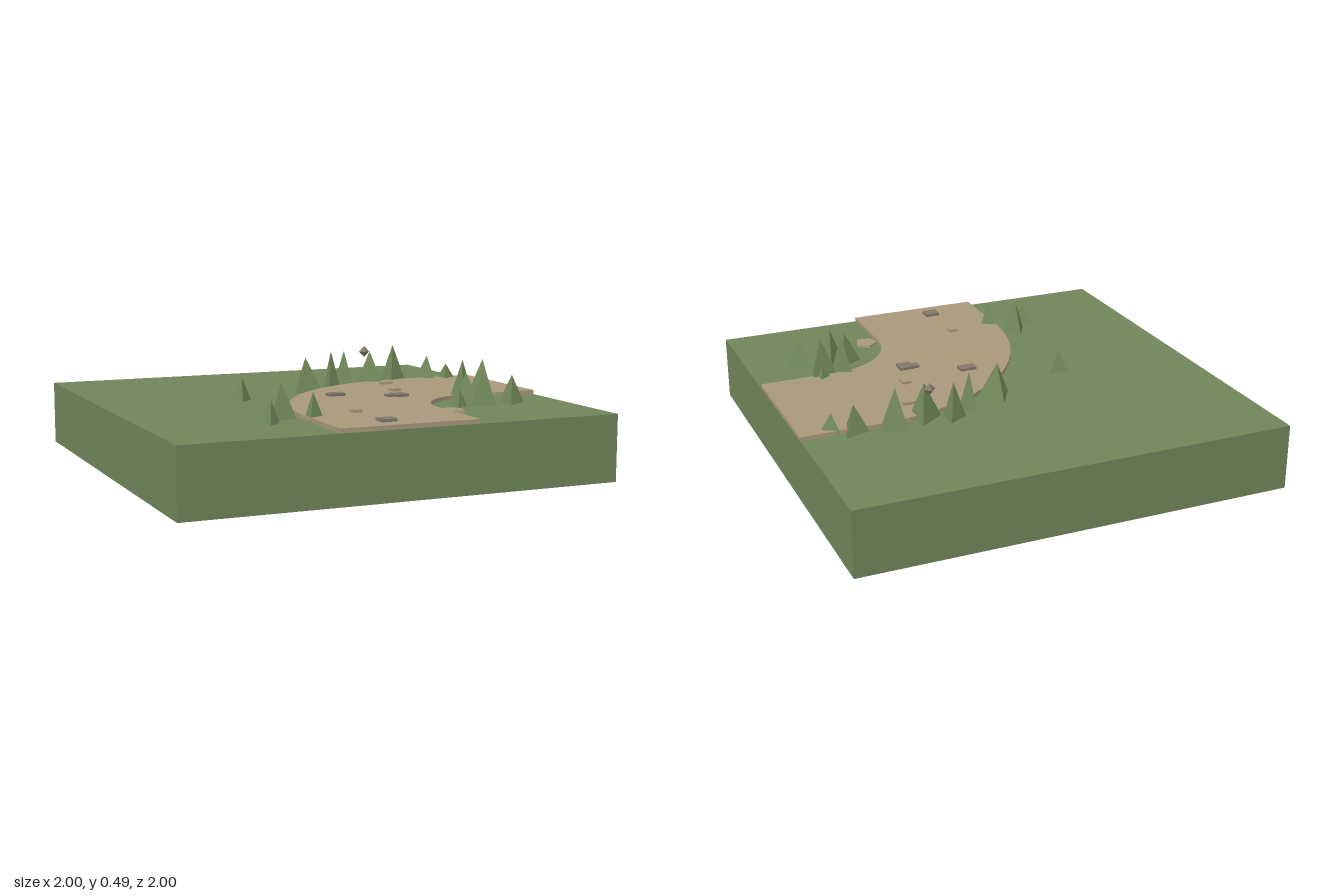
import * as THREE from 'three';

const rad = THREE.MathUtils.degToRad;

function material(name, color, extra = {}) {
  const m = new THREE.MeshStandardMaterial({ color, ...extra });
  m.name = name;
  return m;
}

export function createModel() {
  const model = new THREE.Group();
  model.name = 'forestRoadTile';

  const grass = material('grass green', 0x6f855a, { side: THREE.DoubleSide });
  const leaf = material('tree green', 0x728a5a, { flatShading: true });
  const dirt = material('dirt brown', 0xa8987c, { flatShading: true });
  const stone = material('stone grey', 0x81776a, { flatShading: true });
  const GROUND = 0.3;

  function add(parent, name, geometry, mat, x = 0, y = 0, z = 0) {
    const mesh = new THREE.Mesh(geometry, mat);
    mesh.name = name;
    mesh.position.set(x, y, z);
    parent.add(mesh);
    return mesh;
  }

  // Ground: a hollow block, open underneath
  const block = new THREE.BoxGeometry(2, GROUND, 2);
  const index = Array.from(block.index.array);
  index.splice(18, 6); // drop the bottom face
  block.setIndex(index);
  block.clearGroups();
  add(model, 'ground', block, grass, 0, GROUND / 2, 0);

  // Road: straight ends joined by a quarter bend about (0.65, 0.65)
  const c = 0.65, half = 0.317;
  const road = new THREE.Shape();
  road.moveTo(1, -half);
  road.lineTo(c, -half);
  road.absarc(c, c, c + half, rad(270), rad(180), true);
  road.lineTo(-half, 1);
  road.lineTo(half, 1);
  road.lineTo(half, c);
  road.absarc(c, c, c - half, rad(180), rad(270), false);
  road.lineTo(1, half);
  const roadGeometry = new THREE.ExtrudeGeometry(road, { depth: 0.019, bevelEnabled: false, curveSegments: 10 });
  roadGeometry.rotateX(Math.PI / 2);
  add(model, 'road', roadGeometry, dirt, 0, GROUND + 0.02, 0);

  // Flat stones lying on the road: x, z, width, depth, material
  const slabs = new THREE.Group();
  slabs.name = 'roadStones';
  model.add(slabs);
  [
    [0.055, 0.12, 0.08, 0.05, stone],
    [0.32, 0.25, 0.065, 0.065, stone],
    [0.278, 0.243, 0.045, 0.04, stone],
    [-0.062, 0.893, 0.07, 0.06, stone],
    [-0.075, 0.625, 0.042, 0.042, dirt],
    [0.38, 0.08, 0.042, 0.052, dirt],
    [0.453, -0.16, 0.06, 0.03, dirt],
  ].forEach(([x, z, w, d, mat], i) => {
    const h = i === 2 ? 0.011 : 0.013;
    add(slabs, 'roadStone', new THREE.BoxGeometry(w, h, d), mat, x, GROUND + 0.02 + h / 2, z);
  });

  // Flat pebble on the inner verge and a small rock among the trees
  add(model, 'pebble', new THREE.CylinderGeometry(0.055, 0.058, 0.012, 5, 1, false, Math.PI), dirt, 0.372, GROUND + 0.006, 0.665);
  add(model, 'smallRock', new THREE.OctahedronGeometry(0.028), stone, 0.427, 0.462, -0.357);

  // Three-sided trees: x, z, radius, height, direction of one corner in degrees
  const trees = new THREE.Group();
  trees.name = 'trees';
  model.add(trees);
  [
    [-0.48, 0.66, 0.045, 0.10, -10],
    [-0.39, 0.55, 0.068, 0.155, -90],
    [-0.35, -0.03, 0.052, 0.11, -15],
    [-0.29, 0.66, 0.05, 0.125, 5],
    [0.04, -0.2, 0.085, 0.165, -90],
    [0.21, -0.28, 0.05, 0.18, 5],
    [0.31, -0.345, 0.058, 0.17, 180],
    [0.43, -0.30, 0.08, 0.17, 175],
    [0.58, -0.345, 0.075, 0.19, 0],
    [0.76, -0.315, 0.068, 0.13, 75],
    [0.85, -0.28, 0.06, 0.09, 0],
    [0.60, 0.34, 0.065, 0.185, -5],
    [0.70, 0.35, 0.08, 0.185, 75],
    [0.71, 0.29, 0.045, 0.075, 180],
    [0.60, 0.41, 0.045, 0.10, 90],
    [0.54, 0.48, 0.075, 0.145, 180],
    [0.60, 0.525, 0.067, 0.155, 165],
    [0.47, 0.545, 0.042, 0.08, 0],
    [0.75, 0.53, 0.065, 0.13, 0],
  ].forEach(([x, z, r, h, angle]) => {
    const cone = new THREE.ConeGeometry(r, h, 3, 1, true, Math.PI / 2 - rad(angle));
    add(trees, 'tree', cone, leaf, x, GROUND + h / 2, z);
  });

  return model;
}
